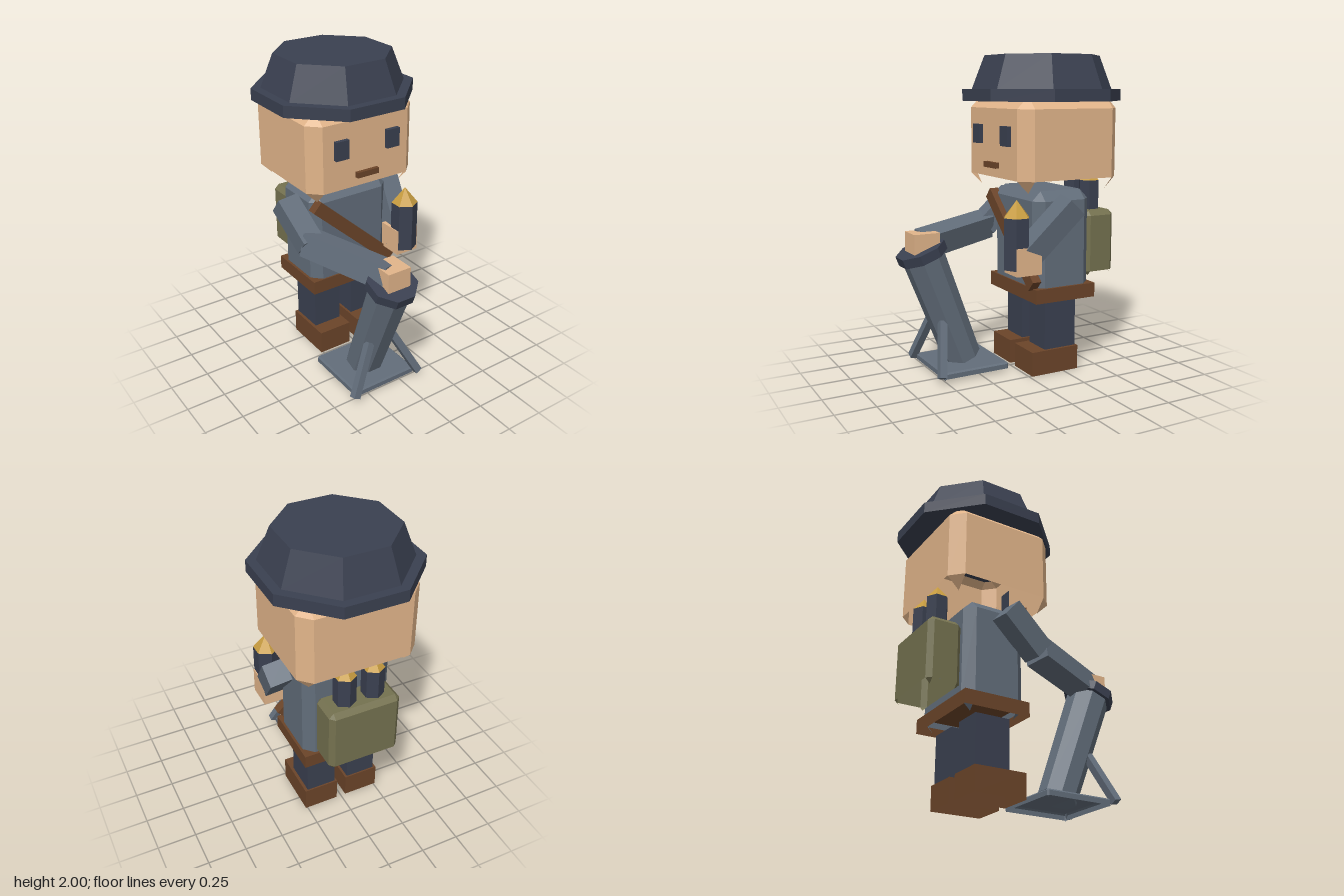
import * as THREE from 'three';

const mat = (name, color) => {
  const m = new THREE.MeshStandardMaterial({ color, flatShading: true, side: THREE.DoubleSide });
  m.name = name;
  return m;
};

// Chamfered block, open underneath, with small corner facets hanging below the walls
function chamferBlock(w, h, d, b) {
  const x = w / 2, y = h / 2, z = d / 2, pos = [];
  const tri = (...pts) => pts.forEach((p) => pos.push(...p));
  const quad = (p, q, r, s) => tri(p, q, r, p, r, s);
  const signs = [[1, 1], [1, -1], [-1, -1], [-1, 1]];
  const corner = (k, v) => {
    const [sx, sz] = signs[k % 4];
    const wall = y - b;
    const pts = [[sx * (x - b), v * wall, sz * z], [sx * x, v * wall, sz * (z - b)]];
    if (k % 2) pts.reverse();
    return [...pts, [sx * (x - b), v * y, sz * (z - b)]];
  };
  for (let k = 0; k < 4; k++) {
    const [a, c, tip] = corner(k, 1), [a2, , tip2] = corner(k + 1, 1);
    const [la, lc, lowTip] = corner(k, -1), [la2] = corner(k + 1, -1);
    quad(la, lc, c, a);
    quad(lc, la2, a2, c);
    tri(a, c, tip);
    quad(c, a2, tip2, tip);
    tri(lc, la, lowTip);
  }
  quad(...[0, 1, 2, 3].map((k) => corner(k, 1)[2]));
  const g = new THREE.BufferGeometry();
  g.setAttribute('position', new THREE.Float32BufferAttribute(pos, 3));
  g.computeVertexNormals();
  return g;
}

// Plain box without its underside
function openBox(w, h, d) {
  const g = new THREE.BoxGeometry(w, h, d);
  g.setIndex([...g.index.array].filter((_, i) => i < 18 || i >= 24));
  g.clearGroups();
  return g;
}

// Eight-sided drum with flats facing front and sides; radii are measured to the flats
function octagon(top, bottom, h) {
  const k = 1 / Math.cos(Math.PI / 8);
  return new THREE.CylinderGeometry(top * k, bottom * k, h, 8).rotateY(Math.PI / 8);
}

export function createModel() {
  const model = new THREE.Group();
  const skin = mat('skin', 0xe2b58a);
  const navy = mat('navy', 0x3a4050);
  const steel = mat('steel blue', 0x626d7a);
  const brown = mat('leather brown', 0x6b4429);
  const gold = mat('gold', 0xc79c40);
  const olive = mat('olive', 0x74714f);

  const add = (name, geometry, material, x, y, z, parent = model) => {
    const m = new THREE.Mesh(geometry, material);
    m.name = name;
    m.position.set(x, y, z);
    parent.add(m);
    return m;
  };
  const box = (name, material, w, h, d, x, y, z) =>
    add(name, new THREE.BoxGeometry(w, h, d), material, x, y, z);

  // Square bar between two points
  const bar = (name, material, from, to, t, level = false) => {
    const a = new THREE.Vector3(...from), b = new THREE.Vector3(...to);
    const mid = a.clone().add(b).multiplyScalar(0.5);
    const len = a.distanceTo(b);
    const size = level ? [t, t, len] : [t, len, t];
    const m = box(name, material, ...size, mid.x, mid.y, mid.z);
    if (level) m.lookAt(b);
    else m.quaternion.setFromUnitVectors(new THREE.Vector3(0, 1, 0), a.sub(b).normalize());
    return m;
  };

  // Six-sided shell with a pointed tip
  const shell = (name, r, bottom, top, tip, x, z) => {
    const g = new THREE.Group();
    g.name = name;
    g.position.set(x, 0, z);
    model.add(g);
    add('shellBody', new THREE.CylinderGeometry(r, r, top - bottom, 6), navy, 0, (top + bottom) / 2, 0, g);
    add('shellTip', new THREE.ConeGeometry(r, tip, 6), gold, 0, top + tip / 2, 0, g);
  };

  // Legs, boots and eyes
  for (const [side, s] of [['left', 1], ['right', -1]]) {
    add(side + 'Boot', openBox(0.23, 0.155, 0.335), brown, s * 0.147, 0.0775, -0.1875);
    box(side + 'Leg', navy, 0.195, 0.31, 0.225, s * 0.145, 0.31, -0.2325);
    box(side + 'Eye', navy, 0.092, 0.12, 0.03, s * 0.185, 1.511, 0.13);
  }

  // Torso, belt and chest strap
  add('torso', chamferBlock(0.58, 0.7, 0.405, 0.06), steel, 0, 0.82, -0.2325);
  add('belt', openBox(0.612, 0.09, 0.43), brown, 0, 0.523, -0.235);
  box('chestStrap', brown, 0.773, 0.085, 0.06, 0, 0.85, -0.02).rotation.z = -0.742;

  // Head, mouth and hat
  add('head', chamferBlock(0.77, 0.58, 0.705, 0.077), skin, 0, 1.462, -0.2335);
  box('mouth', brown, 0.157, 0.036, 0.03, 0, 1.325, 0.13);
  add('hatBrim', octagon(0.47, 0.47, 0.074), navy, 0, 1.755, -0.235);
  add('hatCrown', octagon(0.34, 0.415, 0.21), navy, 0, 1.895, -0.235);

  // Left arm holding a shell
  bar('leftArm', steel, [0.38, 1.1, -0.228], [0.298, 0.75, 0.095], 0.14);
  box('leftHand', skin, 0.16, 0.17, 0.17, 0.305, 0.772, 0.075);
  shell('heldShell', 0.085, 0.72, 1.035, 0.105, 0.305, 0.12);

  // Right arm resting on the mortar
  bar('rightUpperArm', steel, [-0.38, 1.085, -0.228], [-0.35, 0.88, 0.02], 0.14);
  bar('rightForearm', steel, [-0.352, 0.89, 0.0], [-0.13, 0.84, 0.55], 0.15, true).rotateZ(-0.2);
  box('rightHand', skin, 0.16, 0.15, 0.17, -0.125, 0.84, 0.55);

  // Backpack with two shells
  add('backpack', chamferBlock(0.465, 0.425, 0.215, 0.03), olive, 0, 0.805, -0.5425);
  for (const s of [1, -1]) shell('packShell', 0.07, 0.95, 1.205, 0.085, s * 0.093, -0.54);

  // Mortar tube, muzzle, base plate and bipod
  const mortar = new THREE.Group();
  mortar.name = 'mortar';
  mortar.position.set(-0.125, 0.085, 0.29);
  mortar.rotation.x = 0.365;
  model.add(mortar);
  add('mortarTube', octagon(0.125, 0.111, 0.76), steel, 0, 0.37, 0, mortar);
  add('mortarMuzzle', octagon(0.148, 0.148, 0.062), navy, 0, 0.75, 0, mortar);
  add('basePlate', chamferBlock(0.455, 0.05, 0.45, 0.01), steel, -0.122, 0.037, 0.29);
  for (const s of [1, -1])
    bar('bipodLeg', steel, [-0.125 + s * 0.085, 0.35, 0.46], [-0.125 + s * 0.245, 0.04, 0.535], 0.047);

  return model;
}
